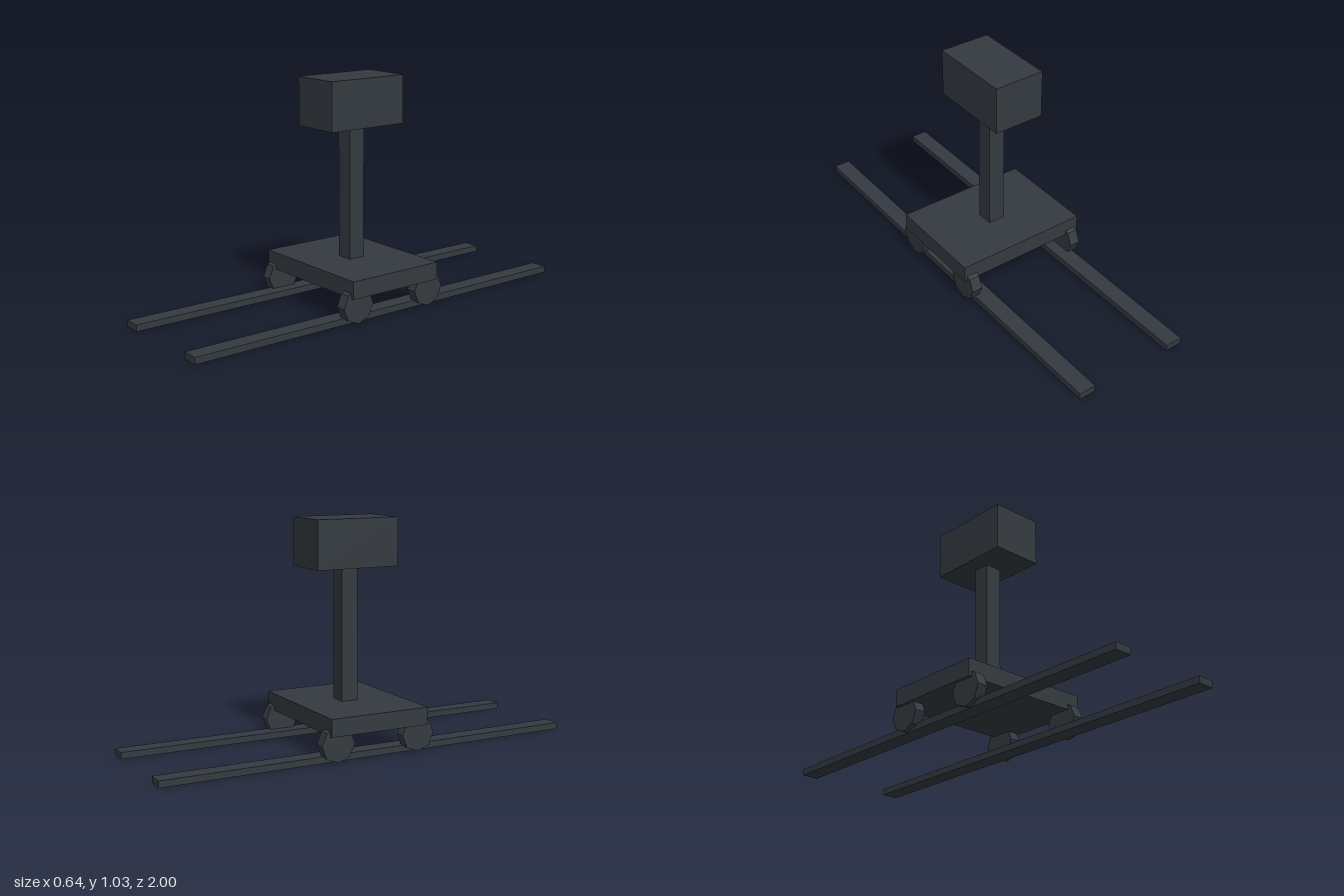
import * as THREE from 'three';

export function createModel() {
  const group = new THREE.Group();
  const darkSteel = new THREE.MeshStandardMaterial({ color: 0x343a40 });
  darkSteel.name = 'darkSteel';
  darkSteel.flatShading = true;

  const add = (name, geometry, x, y, z) => {
    const mesh = new THREE.Mesh(geometry, darkSteel);
    mesh.name = name;
    mesh.position.set(x, y, z);
    group.add(mesh);
  };

  // Carriage: deck, upright post and head box
  add('deck', new THREE.BoxGeometry(0.64, 0.08, 0.48), 0, 0.16, 0);
  add('post', new THREE.BoxGeometry(0.08, 0.61, 0.08), 0, 0.505, 0);
  add('head', new THREE.BoxGeometry(0.24, 0.22, 0.4), 0, 0.92, 0);

  // Two rails, each with a pair of eight-sided wheels
  const rail = new THREE.BoxGeometry(0.08, 0.03, 2);
  const wheel = new THREE.CylinderGeometry(0.08, 0.08, 0.05, 8).rotateZ(Math.PI / 2);
  for (const [side, s] of [['left', 1], ['right', -1]]) {
    add(`${side}Rail`, rail, s * 0.24, 0.015, 0);
    add(`${side}FrontWheel`, wheel, s * 0.28, 0.08, 0.2);
    add(`${side}BackWheel`, wheel, s * 0.28, 0.08, -0.2);
  }
  return group;
}
